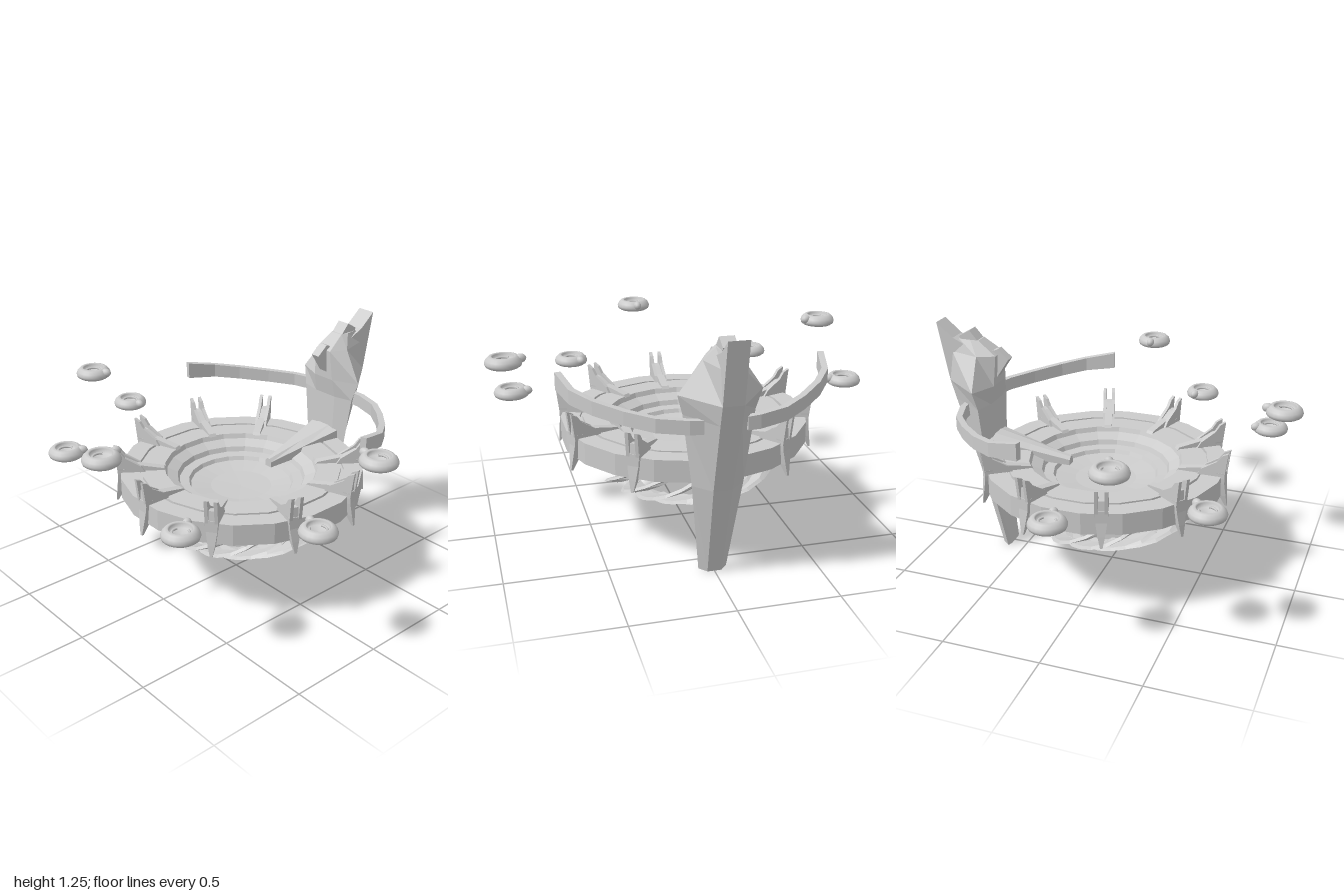
import * as THREE from 'three';

const flat = new THREE.MeshStandardMaterial({ color: 0xcccccc, flatShading: true, side: THREE.DoubleSide });
const smooth = new THREE.MeshStandardMaterial({ color: 0xcccccc, side: THREE.DoubleSide });
const CX = 0.035; // platform centre
const V = (x, y, z) => new THREE.Vector3(x, y, z);
const v2 = (pts) => pts.map(([x, y]) => new THREE.Vector2(x, y));

function part(name, geometry, material = flat) {
  const m = new THREE.Mesh(geometry, material);
  m.name = name;
  return m;
}

// Joins equal-length cross-sections into a capped solid, facing outward
function loft(sections) {
  const n = sections[0].length, pos = [], idx = [];
  sections.forEach((s) => s.forEach((p) => pos.push(p.x, p.y, p.z)));
  for (let i = 0; i < sections.length - 1; i++) {
    for (let j = 0; j < n; j++) {
      const a = i * n + j, b = i * n + (j + 1) % n;
      idx.push(a, b, b + n, a, b + n, a + n);
    }
  }
  const e = (sections.length - 1) * n;
  for (let j = 1; j < n - 1; j++) idx.push(0, j + 1, j, e, e + j, e + j + 1);
  const at = (i) => V(pos[3 * i], pos[3 * i + 1], pos[3 * i + 2]);
  let volume = 0;
  for (let i = 0; i < idx.length; i += 3) volume += at(idx[i]).dot(at(idx[i + 1]).cross(at(idx[i + 2])));
  if (volume < 0) idx.reverse();
  const g = new THREE.BufferGeometry();
  g.setAttribute('position', new THREE.Float32BufferAttribute(pos, 3));
  g.setIndex(idx);
  const out = g.toNonIndexed();
  out.computeVertexNormals();
  return out;
}

// Side profile in x-y given a width centred on z
function plate(pts, width, z = 0) {
  const g = new THREE.ExtrudeGeometry(new THREE.Shape(v2(pts)), { depth: width, bevelEnabled: false });
  return g.translate(0, 0, z - width / 2);
}

// Round platform with a stepped dish and a rounded underside
function platform() {
  const profile = [
    [0, 0.36], [0.12, 0.36], [0.13, 0.39], [0.25, 0.4], [0.36, 0.43], [0.43, 0.49], [0.632, 0.49], [0.632, 0.6],
    [0.535, 0.6], [0.535, 0.585], [0.52, 0.585], [0.52, 0.6], [0.4, 0.6], [0.39, 0.575], [0.335, 0.55],
    [0.325, 0.525], [0.275, 0.52], [0.265, 0.5], [0.16, 0.485], [0, 0.48],
  ];
  const m = part('platform', new THREE.LatheGeometry(v2(profile), 20, Math.PI / 20));
  m.position.x = CX;
  return m;
}

// Swirling blades and the ring they rest on
function basket() {
  const g = new THREE.Group();
  g.name = 'basket';
  const path = new THREE.CatmullRomCurve3([V(0.285, 0.225, 0), V(0.38, 0.255, 0), V(0.47, 0.33, 0), V(0.44, 0.42, 0), V(0.41, 0.495, 0)]);
  const sections = [];
  for (let i = 0; i <= 10; i++) {
    const t = i / 10, p = path.getPoint(t), a = -t * 1.65, w = 0.09;
    const corner = (r, y, ang) => V(r * Math.cos(ang), y, r * Math.sin(ang));
    sections.push([
      corner(p.x, p.y, a + w), corner(p.x - 0.035, p.y + 0.015, a - w),
      corner(p.x - 0.05, p.y + 0.025, a - w), corner(p.x - 0.015, p.y + 0.012, a + w),
    ]);
  }
  const blade = loft(sections);
  for (let i = 0; i < 16; i++) {
    const m = part('basketBlade', blade);
    m.rotation.y = (i / 16) * Math.PI * 2;
    g.add(m);
  }
  const ring = v2([[0.23, 0.24], [0.25, 0.222], [0.3, 0.222], [0.315, 0.24], [0.29, 0.25], [0.23, 0.24]]);
  g.add(part('basketRing', new THREE.LatheGeometry(ring, 32)));
  g.position.x = CX;
  return g;
}

// Clamp gripping the rim: foot on the deck, twin horns and a pointed lower spike
function clamp(angle) {
  const g = new THREE.Group();
  g.name = 'rimClamp';
  g.add(part('clampFoot', plate([[0.39, 0.595], [0.64, 0.595], [0.635, 0.67], [0.6, 0.665], [0.54, 0.635], [0.4, 0.61]], 0.04)));
  const horn = [[0.5, 0.6], [0.64, 0.59], [0.657, 0.73], [0.625, 0.715], [0.6, 0.68], [0.52, 0.63]];
  for (const s of [-1, 1]) g.add(part('clampHorn', plate(horn, 0.017, s * 0.024)));
  const spike = [[0.43, 0.645, 0.655, 0.006], [0.49, 0.615, 0.65, 0.018], [0.56, 0.62, 0.642, 0.028], [0.62, 0.6, 0.642, 0.033]];
  g.add(part('clampSpike', loft(spike.map(([y, a, b, w]) => [V(a, y, -w), V(b, y, -w), V(b, y, w), V(a, y, w)]))));
  g.position.x = CX;
  g.rotation.y = -angle;
  return g;
}

// Tall faceted pylon with a head, rear crest and beak
function pylon() {
  const g = new THREE.Group();
  g.name = 'pylon';
  // y, then x and half width of the inner, middle and outer edges
  const rows = [
    [0, 0.58, 0.045, 0.59, 0.07, 0.63, 0.035], [0.48, 0.65, 0.06, 0.665, 0.125, 0.75, 0.045],
    [0.84, 0.65, 0.07, 0.675, 0.172, 0.86, 0.05], [0.94, 0.63, 0.065, 0.69, 0.2, 0.89, 0.05],
    [1.1, 0.62, 0.05, 0.71, 0.09, 0.87, 0.045], [1.17, 0.72, 0.035, 0.76, 0.045, 0.83, 0.035],
  ];
  g.add(part('pylonBody', loft(rows.map(([y, a, wa, b, wb, c, wc]) => [
    V(a, y, -wa), V(b, y, -wb), V(c, y, -wc), V(c, y, wc), V(b, y, wb), V(a, y, wa),
  ]))));
  g.add(part('pylonCrest', plate([[0.89, 0.94], [0.95, 1.25], [0.86, 1.175], [0.78, 1.14], [0.8, 0.96]], 0.1)));
  g.add(part('pylonKnob', plate([[0.7, 1.14], [0.77, 1.22], [0.83, 1.185], [0.8, 1.1]], 0.07)));
  g.add(part('pylonBeak', plate([[0.64, 0.96], [0.56, 1.08], [0.62, 1.13], [0.7, 1.1]], 0.05)));
  // wedge reaching from the pylon over the dish
  const wedge = [[0.23, 0.53, 0.575, 0.022], [0.45, 0.55, 0.62, 0.06], [0.68, 0.5, 0.665, 0.1]];
  g.add(part('bridge', loft(wedge.map(([x, lo, hi, w]) => [
    V(x, lo, -w), V(x, lo, w), V(x, hi - 0.015, w), V(x, hi, w * 0.35), V(x, hi, -w * 0.35), V(x, hi - 0.015, -w),
  ]))));
  return g;
}

// Curved side arm; side is +1 for the front, -1 for the back
function arm(side) {
  // x, z, lower y, upper y
  const pts = [
    [0.77, 0.1, 0.78, 0.845], [0.765, 0.16, 0.78, 0.848], [0.715, 0.3, 0.785, 0.853], [0.62, 0.42, 0.795, 0.863],
    [0.5, 0.54, 0.81, 0.88], [0.38, 0.625, 0.828, 0.9], [0.22, 0.665, 0.848, 0.935],
  ];
  const sections = pts.map(([x, z, lo, hi], i) => {
    const a = pts[Math.max(i - 1, 0)], b = pts[Math.min(i + 1, pts.length - 1)];
    const d = new THREE.Vector2(b[1] - a[1], a[0] - b[0]).normalize().multiplyScalar(0.016);
    const c = (s, y) => V(x + s * d.x, y, side * (z + s * d.y));
    return [c(-1, lo), c(1, lo), c(1, hi), c(-1, hi)];
  });
  return part(side > 0 ? 'frontArm' : 'backArm', loft(sections));
}

// Floating pod with a hollow top and a nub facing the platform
function pod(x, y, z) {
  const g = new THREE.Group();
  g.name = 'floatingPod';
  const profile = [
    [0, 0], [0.076, 0], [0.088, 0.008], [0.092, 0.022], [0.086, 0.038], [0.072, 0.052], [0.058, 0.056],
    [0.052, 0.05], [0.05, 0.028], [0, 0.024],
  ];
  g.add(part('podShell', new THREE.LatheGeometry(v2(profile), 24), smooth));
  const collar = new THREE.TorusGeometry(0.04, 0.006, 6, 20, Math.PI * 1.5).rotateX(Math.PI / 2).rotateY(-Math.PI / 4);
  g.add(part('podCollar', collar.translate(0, 0.034, 0), smooth));
  const nub = part('podNub', new THREE.SphereGeometry(0.024, 12, 8), smooth);
  nub.position.set(0.083, 0.036, 0);
  nub.scale.set(1.2, 0.95, 0.9);
  g.add(nub);
  g.position.set(x, y, z);
  g.rotation.y = Math.atan2(z, CX - x);
  return g;
}

export function createModel() {
  const model = new THREE.Group();
  model.name = 'floatingPlatform';
  model.add(platform(), basket(), pylon(), arm(1), arm(-1));
  for (let i = 1; i < 10; i++) model.add(clamp((i * Math.PI) / 5));
  const high = 0.93, low = 0.664;
  [
    [-0.865, high, 0.07], [-0.29, high, -0.85], [0.057, high, 0.903],
    [-0.66, low, -0.58], [-0.735, low, 0.467], [-0.26, low, 0.85], [-0.02, low, -0.905],
  ].forEach((p) => model.add(pod(...p)));
  return model;
}
